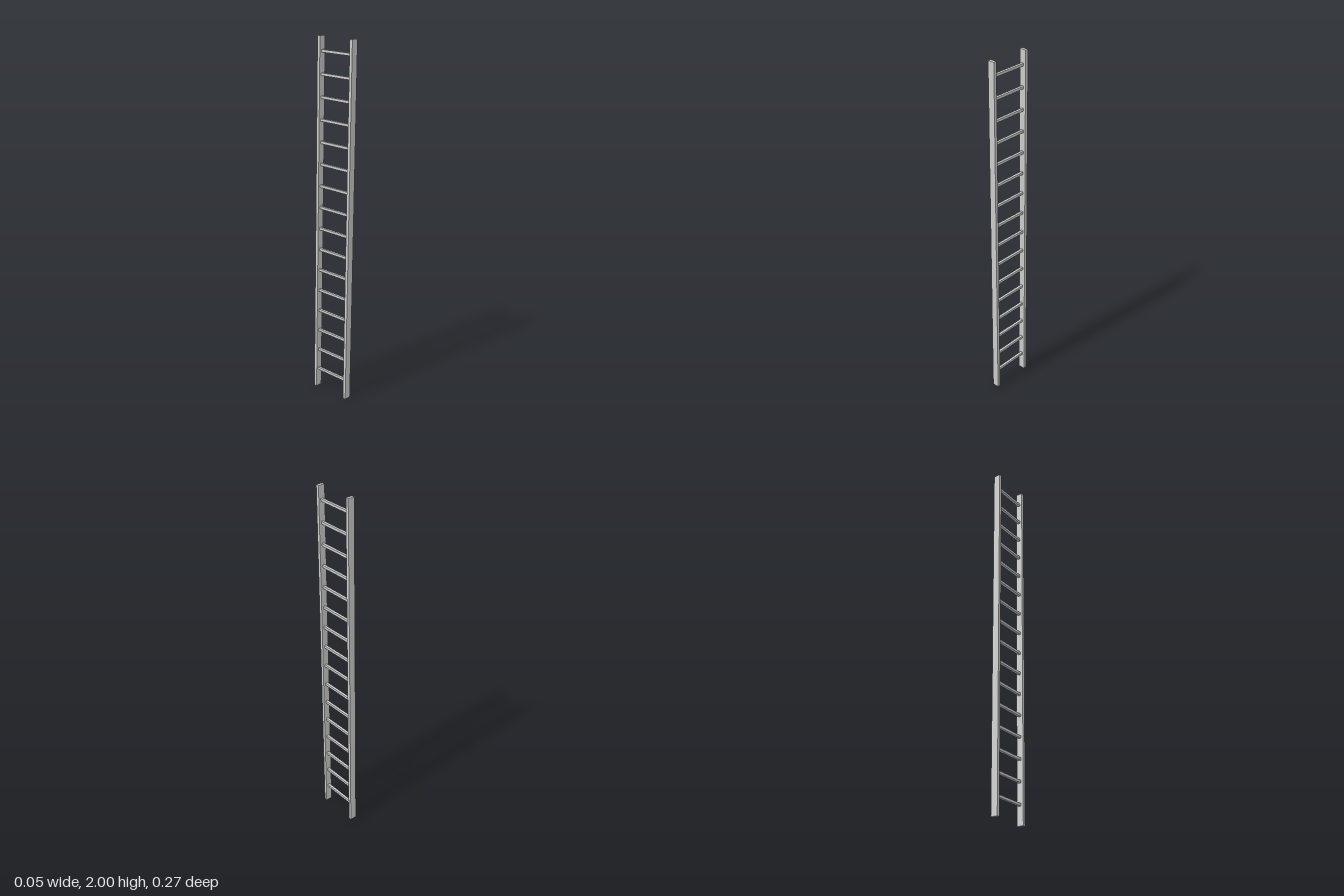
import * as THREE from 'three';

export function createModel() {
  const model = new THREE.Group();
  model.name = 'ladder';
  const material = new THREE.MeshStandardMaterial({ color: 0xcccccc, flatShading: true });

  const length = 1.9965;
  const railOffset = 0.1135;
  const rungCount = 16;
  const rungSpacing = 0.1207;

  const addBox = (name, parent, size, position) => {
    const mesh = new THREE.Mesh(new THREE.BoxGeometry(...size), material);
    mesh.name = name;
    mesh.position.set(...position);
    parent.add(mesh);
  };

  // The whole ladder leans very slightly forward and to one side
  const frame = new THREE.Group();
  frame.name = 'ladderFrame';
  frame.position.y = 1;
  frame.rotation.set(0.0135, 0, -0.007);
  model.add(frame);

  // Side rails
  addBox('frontRail', frame, [0.038, length, 0.018], [0, 0, railOffset]);
  addBox('backRail', frame, [0.038, length, 0.018], [0, 0, -railOffset]);

  // Rungs, evenly spaced between the rails
  for (let i = 0; i < rungCount; i++) {
    const y = 0.015 + (i - (rungCount - 1) / 2) * rungSpacing;
    addBox(`rung${i + 1}`, frame, [0.014, 0.014, railOffset * 2], [0, y, 0]);
  }

  return model;
}
